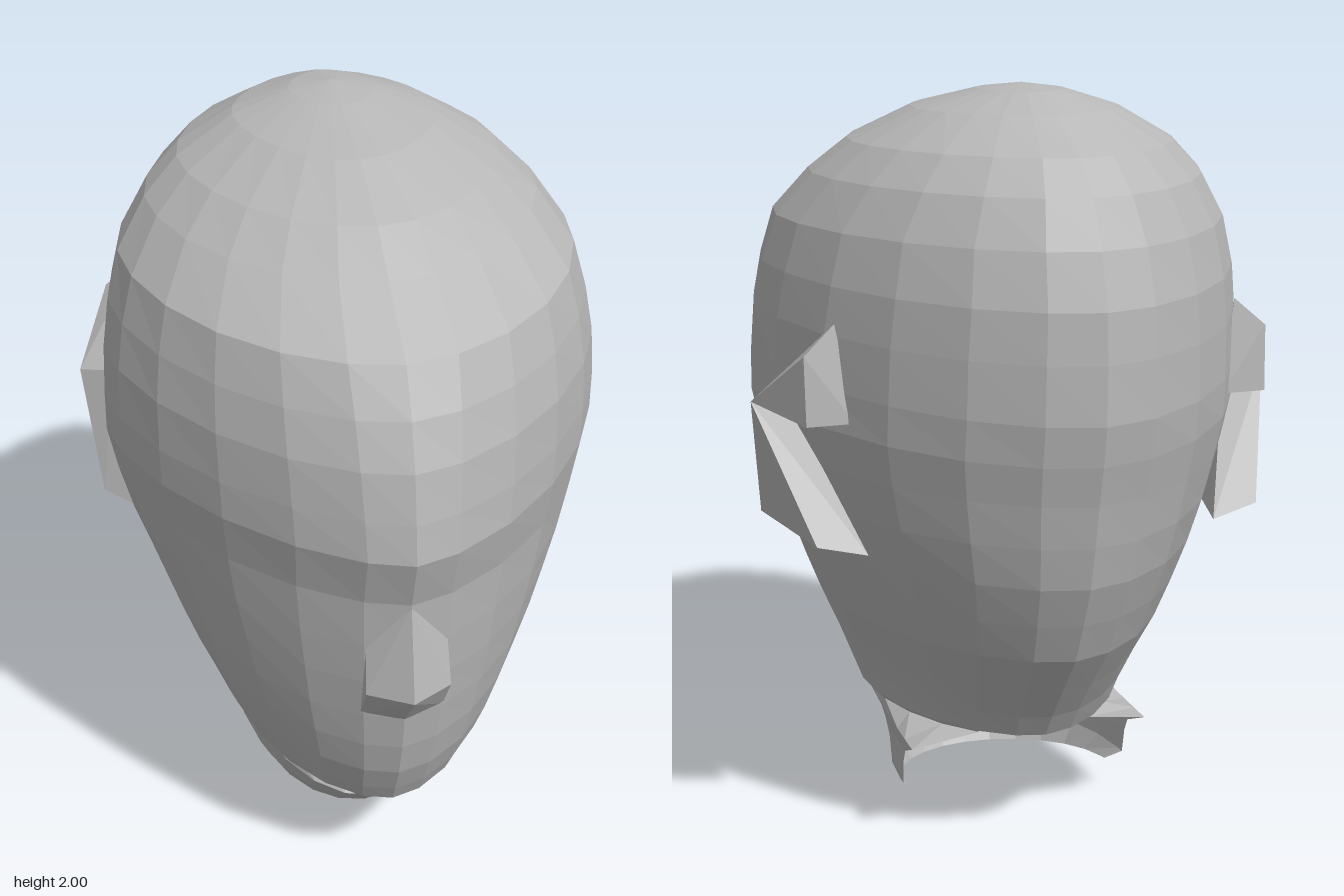
import * as THREE from 'three';
import { ConvexGeometry } from 'three/addons/geometries/ConvexGeometry.js';

const SEGMENTS = 24;
const SIDE = 6;    // column at the widest point of each side
const CORNER = 10; // last column before the opening at the nape

// Double sided because the neck is an open shell
const skin = new THREE.MeshStandardMaterial({ color: 0xb8b8b8, side: THREE.DoubleSide });
skin.name = 'matte grey';

const slant = (z, yf, yb, zf, zb) => yb + (yf - yb) * (z - zb) / (zf - zb);

// Point on a closed oval: [front y, back y, front z, back z, half width, z of widest point, front pointedness]
function ovalPoint([yf, yb, zf, zb, w, zc, point = 1.11], j) {
  const a = (j / SEGMENTS) * Math.PI * 2;
  const s = Math.sin(a), c = Math.cos(a);
  const e = c > 0 ? point : 1.16;
  const x = w * Math.sign(s) * Math.abs(s) ** e;
  const z = zc + (c > 0 ? zf - zc : zb - zc) * Math.abs(c) ** e;
  return [x, slant(z, yf, yb, zf, zb), z];
}

// Point on a U that is open at the back: rounded front, straight sides
function openPoint([yf, yb, zf, zb, w, zc], j) {
  const a = (Math.min(Math.abs(j), SIDE) / SEGMENTS) * Math.PI * 2;
  const back = Math.max(Math.abs(j) - SIDE, 0) / (CORNER - SIDE);
  const z = zc + (zf - zc) * Math.cos(a) + (zb - zc) * back;
  return [Math.sign(j) * w * Math.sin(a), slant(z, yf, yb, zf, zb), z];
}

const columns = (from, to, at) => Array.from({ length: to - from + 1 }, (_, i) => at(from + i));
const oval = (section) => columns(0, SEGMENTS, (j) => ovalPoint(section, j));
const ovalArc = (section) => columns(-CORNER, CORNER, (j) => ovalPoint(section, j));
const openArc = (section) => columns(-CORNER, CORNER, (j) => openPoint(section, j));

// Faceted skin through rows listed from top to bottom, with an optional peak
function loft(rows, peak) {
  const pos = [];
  const tri = (a, b, c) => pos.push(...a, ...b, ...c);
  for (let j = 0; j + 1 < rows[0].length; j++) {
    if (peak) tri(peak, rows[0][j], rows[0][j + 1]);
    for (let i = 0; i + 1 < rows.length; i++) {
      const u = rows[i], v = rows[i + 1];
      tri(u[j], v[j], v[j + 1]);
      tri(u[j], v[j + 1], u[j + 1]);
    }
  }
  const g = new THREE.BufferGeometry();
  g.setAttribute('position', new THREE.Float32BufferAttribute(pos, 3));
  g.computeVertexNormals();
  return g;
}

const hull = (points) => new ConvexGeometry(points.map((p) => new THREE.Vector3(...p)));

export function createModel() {
  const head = new THREE.Group();
  head.name = 'head';
  const add = (name, geometry) => {
    const mesh = new THREE.Mesh(geometry, skin);
    mesh.name = name;
    head.add(mesh);
  };

  const hairline = [1.67, 1.67, 0.69, -0.80, 0.58, -0.03, 1.13];
  const jaw = [0.34, 0.35, 0.63, -0.46, 0.362, 0.05, 1.15];

  // Domed top of the skull, down to the hairline crease
  add('scalp', loft([
    [1.985, 1.985, -0.09, -0.36, 0.11, -0.23],
    [1.94, 1.94, 0.16, -0.49, 0.26, -0.2],
    [1.86, 1.86, 0.37, -0.66, 0.41, -0.15],
    [1.78, 1.78, 0.5, -0.74, 0.5, -0.1],
    hairline,
  ].map(oval), [0, 2, -0.24]));

  // Forehead, face and back of the skull
  add('face', loft([
    hairline,
    [1.56, 1.54, 0.755, -0.84, 0.615, 0, 1.2],
    [1.45, 1.42, 0.80, -0.848, 0.635, 0.03, 1.25],
    [1.33, 1.28, 0.825, -0.85, 0.643, 0.05, 1.3],
    [1.23, 1.18, 0.84, -0.833, 0.645, 0.05, 1.33],
    [1.09, 1.08, 0.797, -0.81, 0.622, 0.05, 1.3],
    [0.95, 0.97, 0.785, -0.79, 0.59, 0.05, 1.28],
    [0.83, 0.86, 0.77, -0.765, 0.55, 0.06, 1.25],
    [0.71, 0.75, 0.75, -0.72, 0.51, 0.07, 1.22],
    [0.6, 0.64, 0.73, -0.67, 0.468, 0.08, 1.2],
    [0.49, 0.52, 0.70, -0.58, 0.42, 0.08, 1.17],
    [0.4, 0.42, 0.66, -0.505, 0.385, 0.07, 1.15],
    jaw,
  ].map(oval)));

  // Underside of the chin and a short neck with a projecting lip, open at the nape
  add('neck', loft([
    ovalArc(jaw),
    ovalArc([0.305, 0.34, 0.57, -0.44, 0.342, 0.04, 1.13]),
    ...[
      [0.27, 0.30, 0.37, -0.34, 0.328, -0.04],
      [0.22, 0.25, 0.35, -0.24, 0.32, -0.1],
      [0.16, 0.21, 0.42, -0.22, 0.32, -0.19],
      [0.08, 0.14, 0.34, -0.21, 0.318, -0.18],
      [0, 0.10, 0.26, -0.16, 0.285, -0.13],
    ].map(openArc),
  ]));

  // Wedge nose with a flat underside
  const nose = [[0, 1.08, 0.797], [0, 0.95, 0.80], [0, 0.835, 0.85], [0, 0.71, 0.752], [0, 0.82, 0.6]];
  for (const s of [-1, 1]) nose.push([s * 0.1, 0.96, 0.75], [s * 0.105, 0.83, 0.785], [s * 0.105, 0.71, 0.71]);
  add('nose', hull(nose));

  // Each ear is two angular lobes meeting at one outer corner
  for (const [side, s] of [['left', 1], ['right', -1]]) {
    const lobe = (points) => hull(points.map(([x, y, z]) => [s * x, y, z]));
    const corner = [0.695, 1.24, -0.22];
    add(side + 'EarTop', lobe([
      corner, [0.60, 1.39, -0.42], [0.60, 1.22, -0.43],
      [0.61, 1.26, -0.16], [0.52, 1.46, -0.40], [0.48, 1.22, -0.43],
    ]));
    add(side + 'EarLobe', lobe([
      corner, [0.66, 0.92, -0.11], [0.645, 0.935, -0.25], [0.585, 0.92, -0.44],
      [0.61, 1.26, -0.16], [0.565, 0.89, -0.04], [0.46, 0.89, -0.45],
    ]));
  }

  return head;
}
